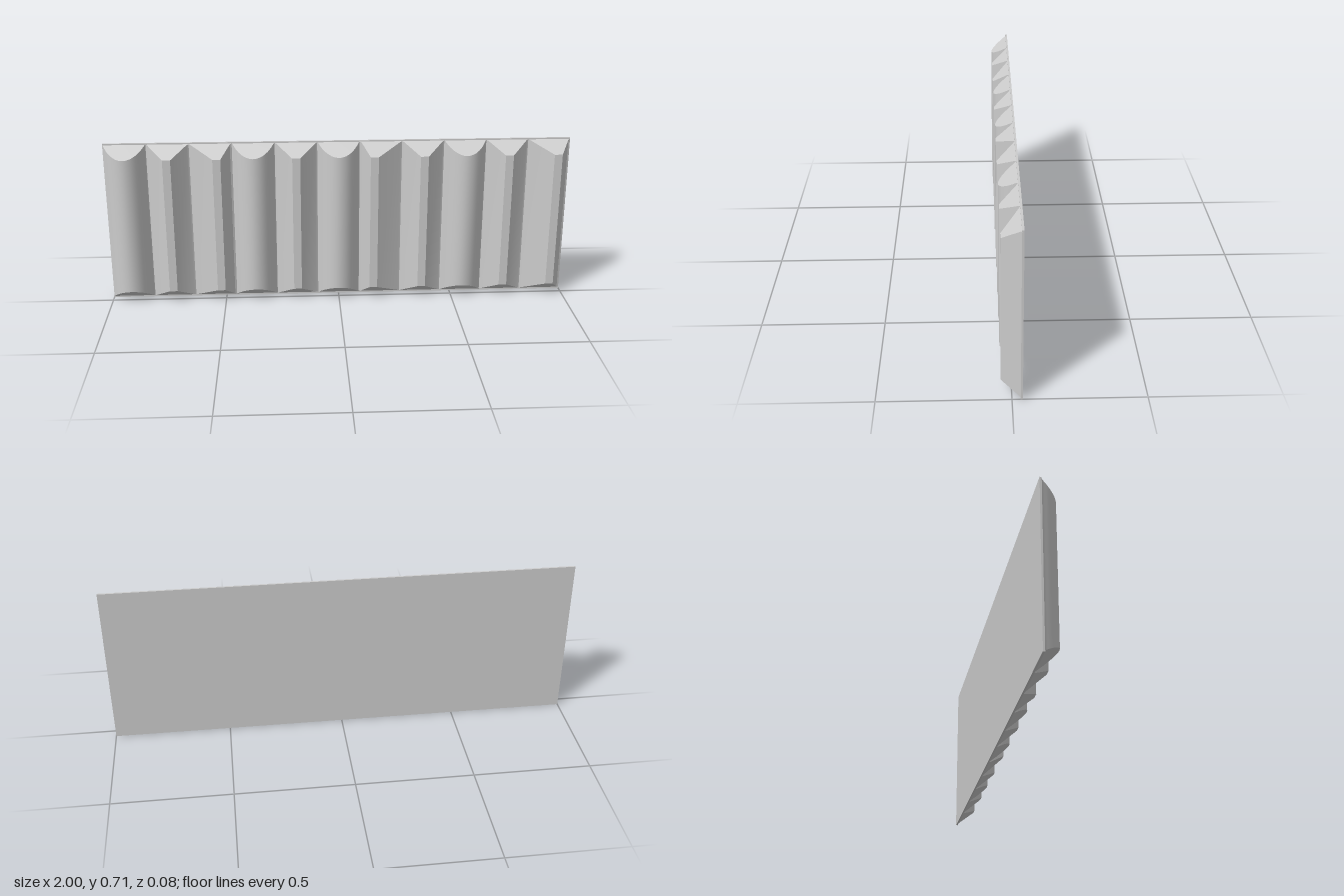
import * as THREE from 'three';
import { toCreasedNormals } from 'three/addons/utils/BufferGeometryUtils.js';

const HEIGHT = 0.71, BACK = -0.04, BASE = -0.032, FRONT = 0.04;
const COUNT = 11, PITCH = 2 / COUNT, HALF = PITCH / 2, DEPTH = FRONT - BASE;

// Half of the rounded section: distance from the rib axis and height, as fractions
const ROUND = [[1, 0], [0.96, 0.04], [0.91, 0.14], [0.85, 0.27], [0.77, 0.42], [0.68, 0.555], [0.57, 0.69],
  [0.45, 0.81], [0.32, 0.905], [0.16, 0.975]];

function roundSection() {
  const left = ROUND.map(([u, h]) => [-u * HALF, h * DEPTH]);
  const right = ROUND.map(([u, h]) => [u * HALF, h * DEPTH]).reverse();
  return [...left, [0, DEPTH], ...right];
}

// Trapezoid with a narrow flat crest and a slight flare at each foot
function facetSection(offset) {
  const crest = 0.017;
  return [
    [-HALF, 0], [-HALF + 0.008, 0.004],
    [offset - crest, DEPTH], [offset + crest, DEPTH],
    [HALF - 0.008, 0.004], [HALF, 0],
  ];
}

// Upright rib whose two ends slope back to the panel
function ribGeometry(section) {
  const inset = (h) => 0.006 + h * 0.68;
  const low = ([x, h]) => [x, inset(h), BASE + h];
  const high = ([x, h]) => [x, HEIGHT - inset(h), BASE + h];
  const pos = [];
  const tri = (...corners) => corners.forEach((c) => pos.push(...c));
  const middle = [0, 0];
  for (let i = 0; i < section.length - 1; i++) {
    const a = section[i], b = section[i + 1];
    tri(low(a), low(b), high(b));
    tri(low(a), high(b), high(a));
    tri(high(middle), high(a), high(b));
    tri(low(middle), low(b), low(a));
  }
  const geometry = new THREE.BufferGeometry();
  geometry.setAttribute('position', new THREE.Float32BufferAttribute(pos, 3));
  return toCreasedNormals(geometry, 0.5);
}

export function createModel() {
  const group = new THREE.Group();
  group.name = 'ribbedPanel';
  const material = new THREE.MeshStandardMaterial({ color: 0xcccccc });

  // Thin backing sheet
  const back = new THREE.Mesh(new THREE.BoxGeometry(2, HEIGHT, BASE - BACK), material);
  back.name = 'backPanel';
  back.position.set(0, HEIGHT / 2, (BACK + BASE) / 2);
  group.add(back);

  // Rib kinds from the model's right to its left
  const kinds = {
    round: ribGeometry(roundSection()),
    centre: ribGeometry(facetSection(0)),
    leanLeft: ribGeometry(facetSection(0.028)),
    leanRight: ribGeometry(facetSection(-0.031)),
  };
  const order = ['round', 'centre', 'leanLeft', 'round', 'centre', 'round',
    'leanRight', 'centre', 'round', 'centre', 'leanLeft'];
  order.forEach((kind, i) => {
    const rib = new THREE.Mesh(kinds[kind], material);
    rib.name = `${kind}Rib${i + 1}`;
    rib.position.x = -1 + (i + 0.5) * PITCH;
    group.add(rib);
  });
  return group;
}
